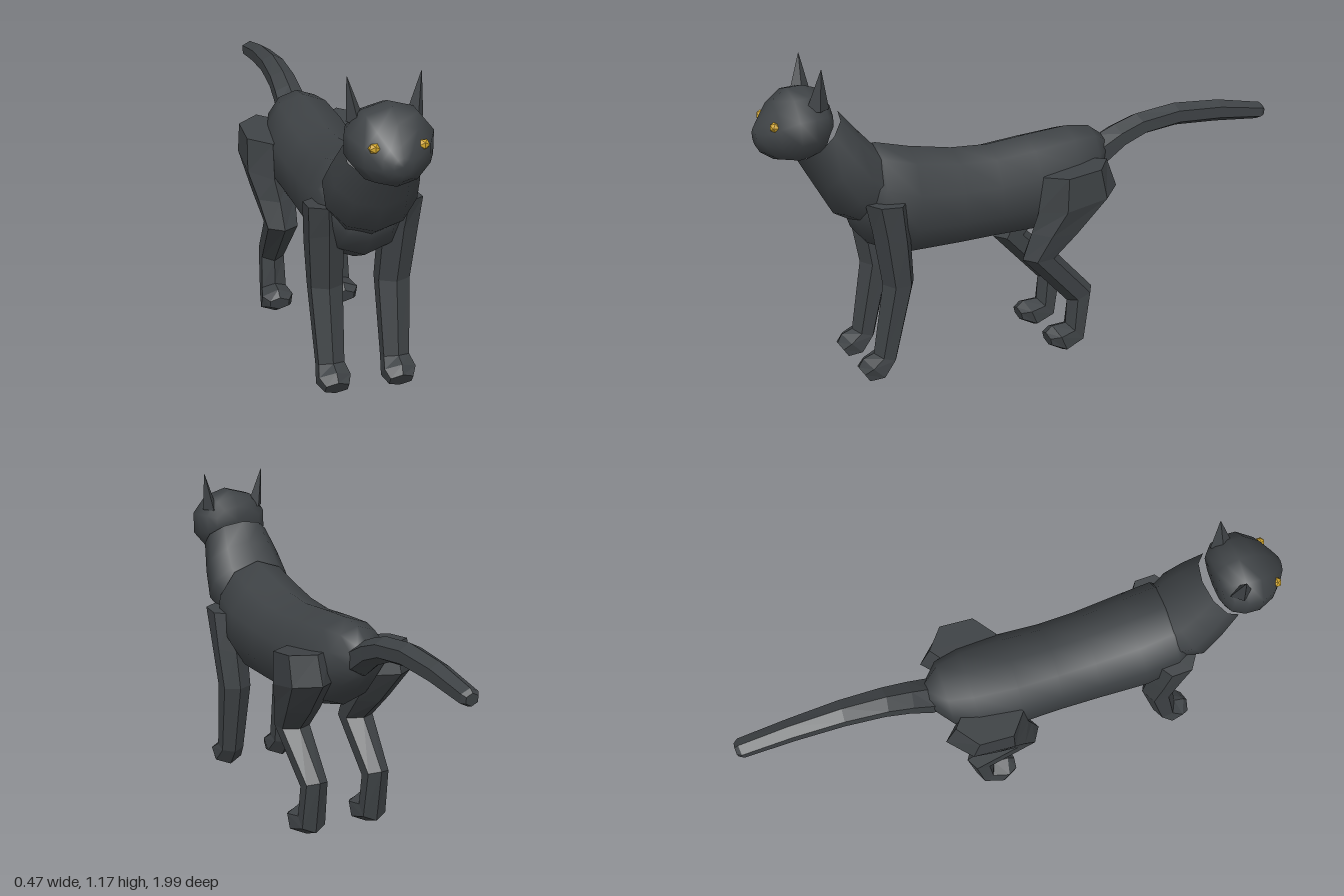
import * as THREE from 'three';

// Lofts elliptical rings. Each section is [zA, yA, zB, yB, halfWidth, centreX]:
// A and B are the opposite ends of the ring in side profile.
function loft(sections, sides, { flat = false, caps = true, side = 1 } = {}) {
  const pos = [], idx = [];
  let widest = 0;
  for (let j = 0; j < sides; j++) widest = Math.max(widest, Math.sin(j / sides * Math.PI * 2));
  for (const [zA, yA, zB, yB, half, cx = 0] of sections) {
    for (let j = 0; j < sides; j++) {
      const t = j / sides * Math.PI * 2, c = Math.cos(t) / 2;
      pos.push(cx * side + Math.sin(t) * half / widest,
        (yA + yB) / 2 + (yA - yB) * c, (zA + zB) / 2 + (zA - zB) * c);
    }
  }
  const last = (sections.length - 1) * sides;
  for (let r = 0; r < last; r += sides) {
    for (let j = 0; j < sides; j++) {
      const k = (j + 1) % sides;
      idx.push(r + j, r + sides + j, r + k, r + k, r + sides + j, r + sides + k);
    }
  }
  if (caps) {
    for (const [base, s] of [[0, sections[0]], [last, sections[sections.length - 1]]]) {
      const centre = pos.length / 3;
      pos.push((s[5] || 0) * side, (s[1] + s[3]) / 2, (s[0] + s[2]) / 2);
      for (let j = 0; j < sides; j++) {
        const k = (j + 1) % sides;
        if (base === 0) idx.push(centre, j, k);
        else idx.push(centre, base + k, base + j);
      }
    }
  }
  let geo = new THREE.BufferGeometry();
  geo.setAttribute('position', new THREE.Float32BufferAttribute(pos, 3));
  geo.setIndex(idx);
  if (flat) geo = geo.toNonIndexed();
  geo.computeVertexNormals();
  return geo;
}

export function createModel() {
  const group = new THREE.Group();
  const fur = new THREE.MeshStandardMaterial({ color: 0x3e4245 });
  fur.name = 'charcoal fur';
  const gold = new THREE.MeshStandardMaterial({ color: 0xd2a62c });
  gold.name = 'gold eye';

  const add = (name, geo, mat = fur) => {
    const mesh = new THREE.Mesh(geo, mat);
    mesh.name = name;
    group.add(mesh);
    return mesh;
  };

  // Torso, rump to chest
  add('body', loft([
    [-0.31, 0.775, -0.29, 0.64, 0.05],
    [-0.25, 0.818, -0.24, 0.58, 0.11],
    [-0.16, 0.828, -0.15, 0.5, 0.14],
    [0, 0.815, 0, 0.457, 0.155],
    [0.15, 0.8, 0.15, 0.455, 0.15],
    [0.29, 0.807, 0.3, 0.45, 0.152],
    [0.45, 0.835, 0.49, 0.447, 0.16],
    [0.57, 0.865, 0.61, 0.5, 0.155],
    [0.6, 0.84, 0.67, 0.57, 0.125],
    [0.62, 0.78, 0.69, 0.63, 0.08],
  ], 10));

  // Neck, an open sleeve behind the head
  add('neck', loft([
    [0.5, 0.8, 0.64, 0.58, 0.12],
    [0.585, 0.865, 0.73, 0.63, 0.155],
    [0.64, 0.925, 0.79, 0.735, 0.143],
    [0.7, 0.995, 0.855, 0.85, 0.12],
  ], 10, { caps: false }));

  // Head, back to muzzle
  add('head', loft([
    [0.745, 1.045, 0.745, 0.93, 0.09],
    [0.775, 1.085, 0.765, 0.88, 0.12],
    [0.82, 1.1, 0.81, 0.85, 0.137],
    [0.875, 1.097, 0.865, 0.842, 0.137],
    [0.93, 1.055, 0.93, 0.855, 0.107],
    [0.97, 1.0, 0.975, 0.885, 0.06],
    [0.993, 0.968, 0.99, 0.91, 0.03],
  ], 10));

  // Tail, tip to root
  add('tail', loft([
    [-1.0, 0.8, -0.995, 0.755, 0.022],
    [-0.985, 0.812, -0.975, 0.748, 0.032],
    [-0.8, 0.845, -0.79, 0.763, 0.036],
    [-0.61, 0.856, -0.62, 0.77, 0.042],
    [-0.45, 0.835, -0.48, 0.752, 0.047],
    [-0.36, 0.805, -0.39, 0.715, 0.051],
    [-0.29, 0.775, -0.31, 0.655, 0.055],
    [-0.24, 0.75, -0.26, 0.64, 0.05],
  ], 6, { flat: true }));

  for (const side of [1, -1]) {
    const label = side > 0 ? 'left' : 'right';
    const opts = { flat: true, side };

    // Front leg, shoulder to toes
    add(label + 'FrontLeg', loft([
      [0.66, 0.695, 0.51, 0.685, 0.058, 0.138],
      [0.635, 0.59, 0.495, 0.53, 0.06, 0.128],
      [0.6, 0.385, 0.485, 0.385, 0.055, 0.118],
      [0.64, 0.13, 0.555, 0.1, 0.045, 0.115],
      [0.68, 0.115, 0.6, 0.035, 0.055, 0.115],
      [0.697, 0.085, 0.66, 0.03, 0.04, 0.113],
    ], 6, opts));

    // Hind leg, hip to toes
    add(label + 'HindLeg', loft([
      [0, 0.7, -0.25, 0.735, 0.08, 0.155],
      [0.02, 0.57, -0.29, 0.63, 0.08, 0.155],
      [0.04, 0.49, -0.16, 0.49, 0.068, 0.14],
      [0.07, 0.39, -0.06, 0.4, 0.055, 0.13],
      [-0.11, 0.2, -0.21, 0.24, 0.042, 0.125],
      [-0.105, 0.11, -0.175, 0.035, 0.046, 0.125],
      [-0.05, 0.108, -0.095, 0.004, 0.058, 0.127],
      [-0.024, 0.085, -0.036, 0.035, 0.036, 0.127],
    ], 6, opts));

    // Ear, tip to base
    add(label + 'Ear', loft([
      [0.791, 1.177, 0.789, 1.177, 0.001, 0.121],
      [0.84, 1.035, 0.76, 1.035, 0.03, 0.096],
    ], 4, opts));

    // Eye
    const eye = add(label + 'Eye', new THREE.IcosahedronGeometry(0.02, 0), gold);
    eye.position.set(0.079 * side, 0.99, 0.943);
    eye.scale.set(1, 0.9, 0.9);
  }
  return group;
}
